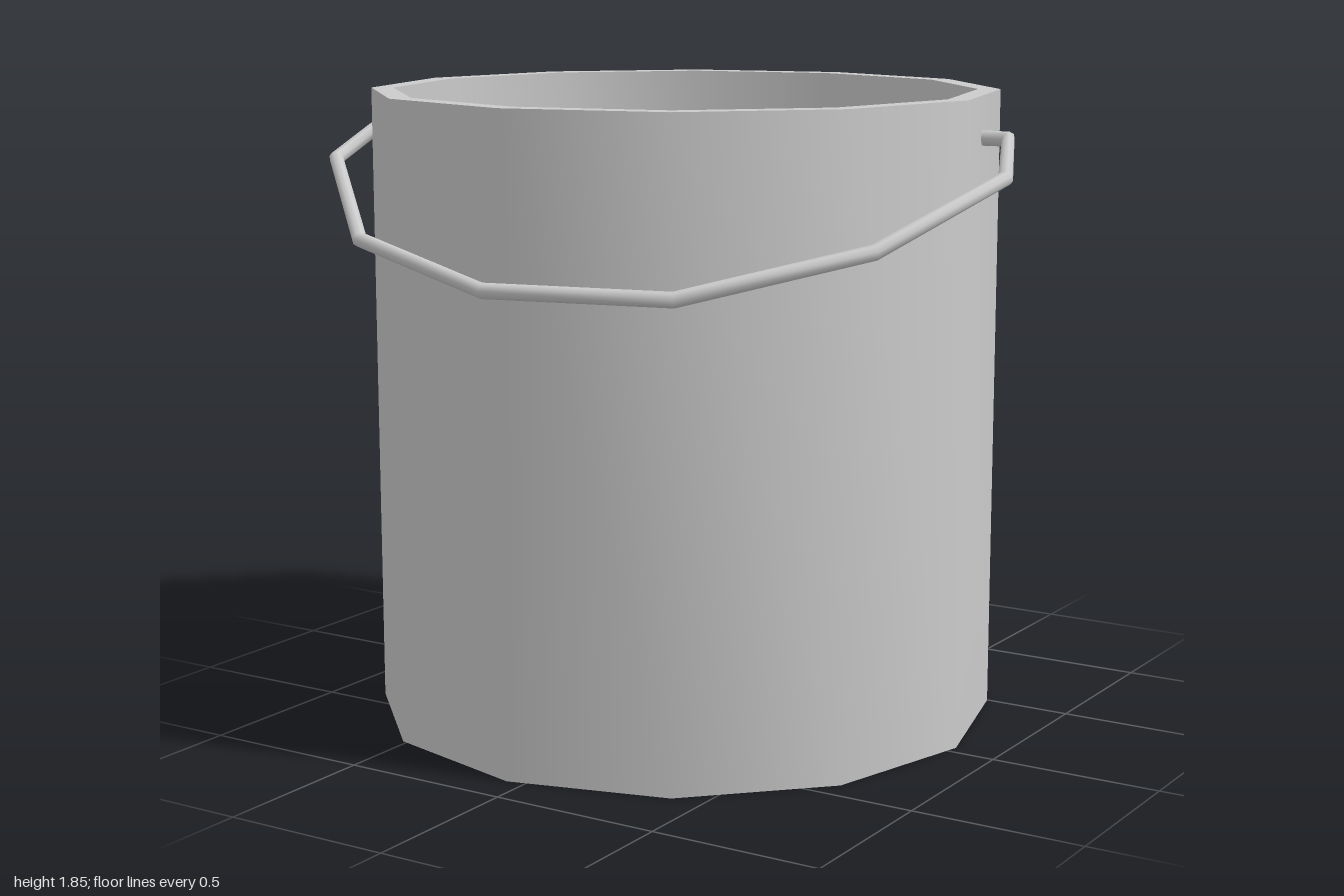
import * as THREE from 'three';
import { toCreasedNormals } from 'three/addons/utils/BufferGeometryUtils.js';

const material = new THREE.MeshStandardMaterial({ color: 0xcccccc });

// Polyline whose tube rings sit exactly on the corners
class BentWire extends THREE.Curve {
  constructor(points) {
    super();
    this.points = points;
  }
  getPoint(t, target = new THREE.Vector3()) {
    const n = this.points.length - 1;
    const i = Math.min(Math.floor(t * n + 1e-6), n - 1);
    return target.lerpVectors(this.points[i], this.points[i + 1], t * n - i);
  }
  getPointAt(u, target) {
    return this.getPoint(u, target);
  }
  getTangentAt(u, target = new THREE.Vector3()) {
    const p = this.points, n = p.length - 1, i = Math.round(u * n);
    const before = p[Math.max(i, 1)].clone().sub(p[Math.max(i, 1) - 1]).normalize();
    const after = p[Math.min(i + 1, n)].clone().sub(p[Math.min(i, n - 1)]).normalize();
    return target.copy(before).add(after).normalize();
  }
}

export function createModel() {
  const model = new THREE.Group();
  model.name = 'bucket';

  // Twelve-sided hollow body: base, outer wall, rim, inner wall, floor
  const outer = 0.92, inner = 0.855, height = 1.85, floor = 0.07;
  const profile = [
    [0, 0], [outer, 0], [outer, height], [inner, height], [inner, floor], [0, floor],
  ].map(([x, y]) => new THREE.Vector2(x, y));
  const body = new THREE.Mesh(
    toCreasedNormals(new THREE.LatheGeometry(profile, 12), Math.PI / 4), material);
  body.name = 'body';
  body.position.set(-0.055, 0, -0.037);
  model.add(body);

  // Bent wire handle resting against the front, hooked into the wall at both ends
  const path = [
    [-0.9, 1.73, 0.195], [-0.98, 1.71, 0.26], [-0.96, 1.64, 0.46], [-0.59, 1.46, 0.81],
    [-0.08, 1.37, 0.93], [0.44, 1.37, 0.8], [0.83, 1.48, 0.43], [0.97, 1.64, -0.06],
    [0.89, 1.73, -0.24], [0.79, 1.73, -0.24],
  ].map((p) => new THREE.Vector3(...p));
  const radius = 0.022;
  const handle = new THREE.Group();
  handle.name = 'handle';
  const wire = new THREE.Mesh(
    new THREE.TubeGeometry(new BentWire(path), path.length - 1, radius, 8), material);
  wire.name = 'handleWire';
  handle.add(wire);

  // Flat caps closing the wire ends
  [[path[0], path[1]], [path.at(-1), path.at(-2)]].forEach(([end, next]) => {
    const cap = new THREE.Mesh(new THREE.CircleGeometry(radius, 8), material);
    cap.name = 'handleEnd';
    cap.position.copy(end);
    cap.lookAt(end.clone().multiplyScalar(2).sub(next));
    handle.add(cap);
  });
  model.add(handle);

  return model;
}
